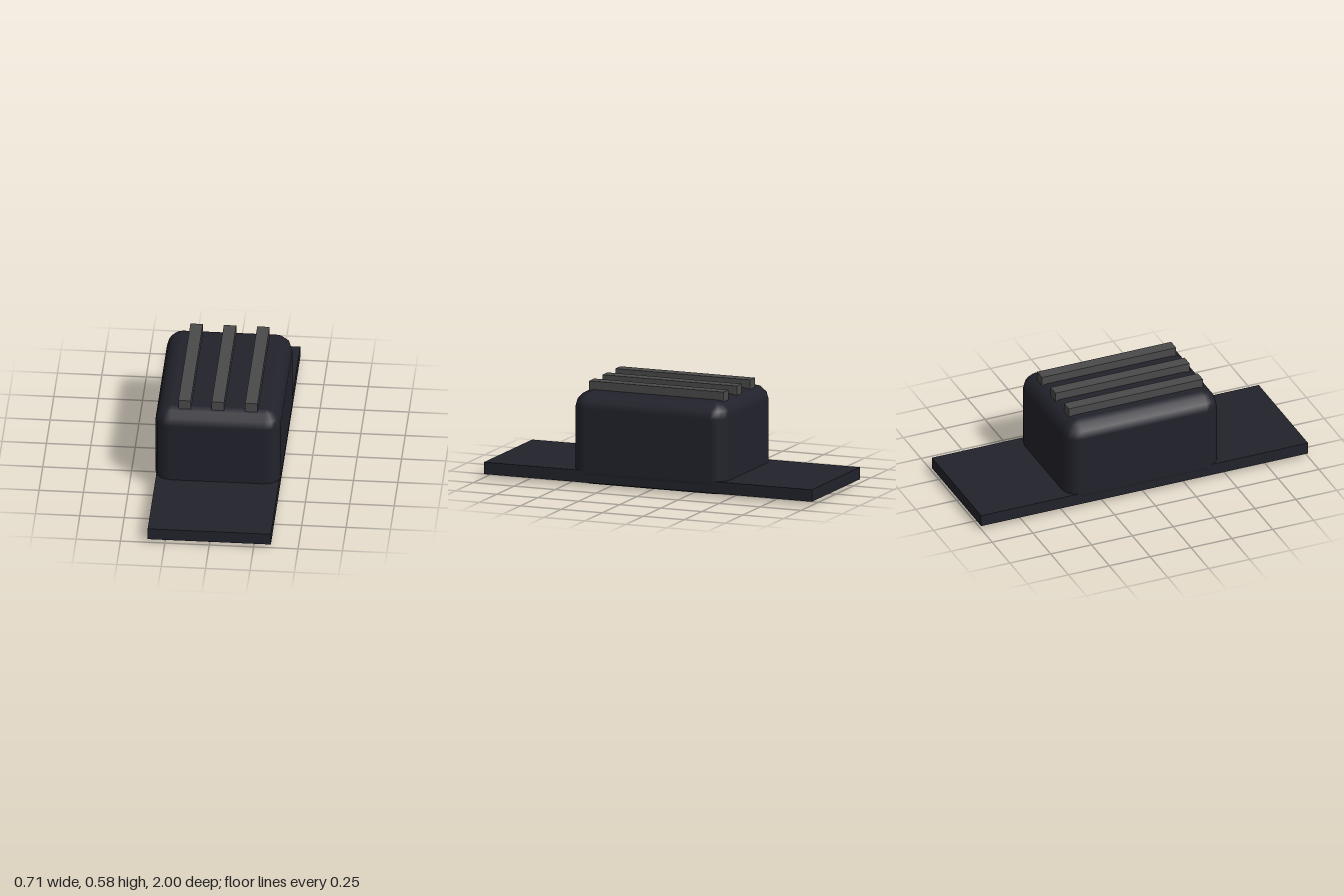
import * as THREE from 'three';

// Box with quarter-round edges of 3 segments and smooth normals
function roundedBox(w, h, d, r) {
  const pos = [], nor = [], idx = [];
  const step = Math.PI / 6, cols = 16, rows = 8;
  const hx = w / 2 - r, hy = h / 2 - r, hz = d / 2 - r;
  for (let j = 0; j < rows; j++) {
    const upper = j > 3;
    const lat = (upper ? j - 4 : j - 3) * step;
    for (let i = 0; i < cols; i++) {
      const quadrant = Math.floor(i / 4);
      const lon = quadrant * Math.PI / 2 + (i % 4) * step;
      const sx = quadrant === 0 || quadrant === 3 ? 1 : -1;
      const sz = quadrant < 2 ? 1 : -1;
      const n = [Math.cos(lat) * Math.cos(lon), Math.sin(lat), Math.cos(lat) * Math.sin(lon)];
      pos.push(sx * hx + n[0] * r, (upper ? hy : -hy) + n[1] * r, sz * hz + n[2] * r);
      nor.push(...n);
    }
  }
  for (let j = 0; j < rows - 1; j++) {
    for (let i = 0; i < cols; i++) {
      const k = (i + 1) % cols;
      const a = j * cols + i, b = j * cols + k, c = a + cols, e = b + cols;
      idx.push(a, c, b, b, c, e);
    }
  }
  // Flat bottom and top caps between the four corners
  const t = (rows - 1) * cols;
  idx.push(0, 4, 8, 0, 8, 12, t, t + 8, t + 4, t, t + 12, t + 8);
  const g = new THREE.BufferGeometry();
  g.setAttribute('position', new THREE.Float32BufferAttribute(pos, 3));
  g.setAttribute('normal', new THREE.Float32BufferAttribute(nor, 3));
  g.setIndex(idx);
  return g;
}

export function createModel() {
  const model = new THREE.Group();
  const dark = new THREE.MeshStandardMaterial({ color: 0x22222c });
  dark.name = 'darkCasing';
  const grey = new THREE.MeshStandardMaterial({ color: 0x4a4a4a });
  grey.name = 'greyRail';

  const add = (name, geometry, material, x, y, z) => {
    const mesh = new THREE.Mesh(geometry, material);
    mesh.name = name;
    mesh.position.set(x, y, z);
    model.add(mesh);
  };

  // Rounded housing
  add('housing', roundedBox(0.706, 0.531, 0.94, 0.088), dark, 0, 0.2655, 0);

  // Long flat strap passing through the housing
  add('strap', new THREE.BoxGeometry(0.694, 0.068, 2), dark, 0, 0.055, 0);

  // Three rails along the top
  for (const [name, x] of [['rightRail', -0.188], ['middleRail', 0], ['leftRail', 0.188]]) {
    add(name, new THREE.BoxGeometry(0.07, 0.055, 0.82), grey, x, 0.551, 0);
  }
  return model;
}
